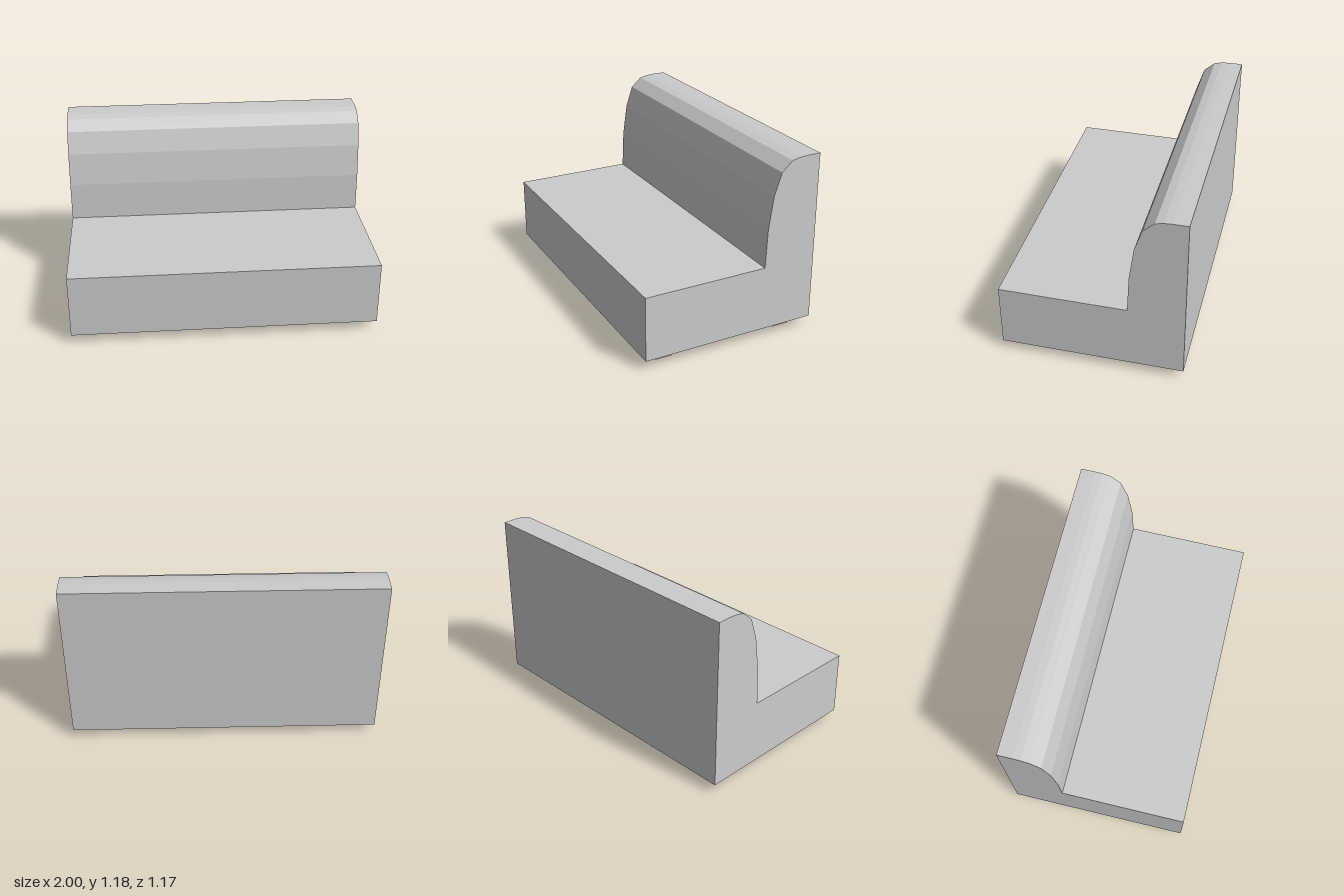
import * as THREE from 'three';

export function createModel() {
  const group = new THREE.Group();
  const material = new THREE.MeshStandardMaterial({ color: 0xcccccc, flatShading: true });

  // Seat and backrest share one side profile, given as [z, y]
  const profile = [
    [0.587, 0.065], [0.587, 0.49], [-0.23, 0.49], // seat
    [-0.24, 0.74], [-0.27, 0.955], [-0.318, 1.1], // curved front of the back
    [-0.39, 1.163], [-0.44, 1.174], [-0.49, 1.178],
    [-0.587, 1.178], [-0.587, 0.065], // flat rear
  ];
  const shape = new THREE.Shape(profile.map(([z, y]) => new THREE.Vector2(-z, y)));
  const bodyGeometry = new THREE.ExtrudeGeometry(shape, { depth: 2, bevelEnabled: false });
  bodyGeometry.translate(0, 0, -1).rotateY(Math.PI / 2);
  const body = new THREE.Mesh(bodyGeometry, material);
  body.name = 'seatAndBackrest';
  group.add(body);

  // Four short block feet
  const footGeometry = new THREE.BoxGeometry(0.11, 0.065, 0.114);
  for (const [side, x] of [['Left', 0.863], ['Right', -0.863]]) {
    for (const [end, z] of [['front', 0.422], ['back', -0.422]]) {
      const foot = new THREE.Mesh(footGeometry, material);
      foot.name = `${end}${side}Foot`;
      foot.position.set(x, 0.0325, z);
      group.add(foot);
    }
  }
  return group;
}
